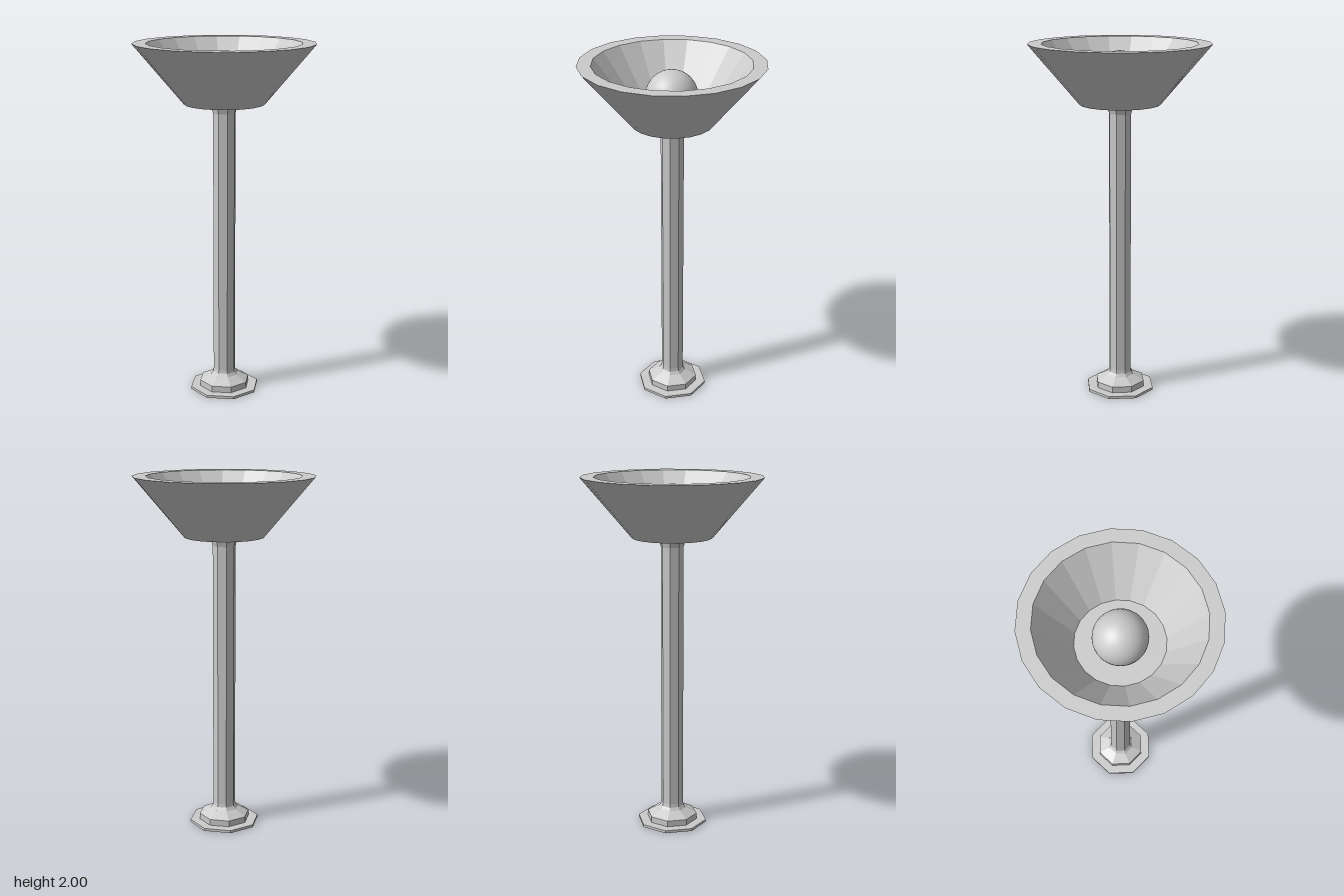
import * as THREE from 'three';

const flat = new THREE.MeshStandardMaterial({ color: 0xcccccc, flatShading: true });
const smooth = new THREE.MeshStandardMaterial({ color: 0xcccccc });

// Turned part from [radius, height] pairs, listed from bottom to top
function turned(name, profile, sides, material) {
  const points = profile.map(([r, y]) => new THREE.Vector2(r, y));
  const mesh = new THREE.Mesh(new THREE.LatheGeometry(points, sides), material);
  mesh.name = name;
  return mesh;
}

export function createModel() {
  const lamp = new THREE.Group();
  lamp.name = 'floorLamp';

  // Thin octagonal foot
  lamp.add(turned('footPlate', [[0, 0], [0.2, 0], [0.2, 0.015], [0, 0.015]], 8, flat));

  // Octagonal pole with stepped collar below and a slight flare under the shade
  lamp.add(turned('pole', [
    [0.145, 0.015], [0.145, 0.05], [0.08, 0.083], [0.067, 0.1],
    [0.064, 0.12], [0.064, 1.62], [0.071, 1.645], [0.071, 1.67],
  ], 8, flat));

  // Bowl-shaped shade: smooth outer wall, faceted inside, flat rim and floors
  const shade = new THREE.Group();
  shade.name = 'shade';
  shade.add(
    turned('shadeOuterWall', [[0.222, 1.67], [0.5, 2]], 20, smooth),
    turned('shadeUnderside', [[0, 1.67], [0.222, 1.67]], 20, flat),
    turned('shadeInside', [[0.5, 2], [0.425, 2], [0.232, 1.75], [0, 1.75]], 20, flat),
  );
  lamp.add(shade);

  // Round bulb resting in the shade
  const bulb = new THREE.Mesh(new THREE.SphereGeometry(0.141, 32, 20), smooth);
  bulb.name = 'bulb';
  bulb.position.set(-0.001, 1.82, 0.003);
  lamp.add(bulb);

  return lamp;
}
